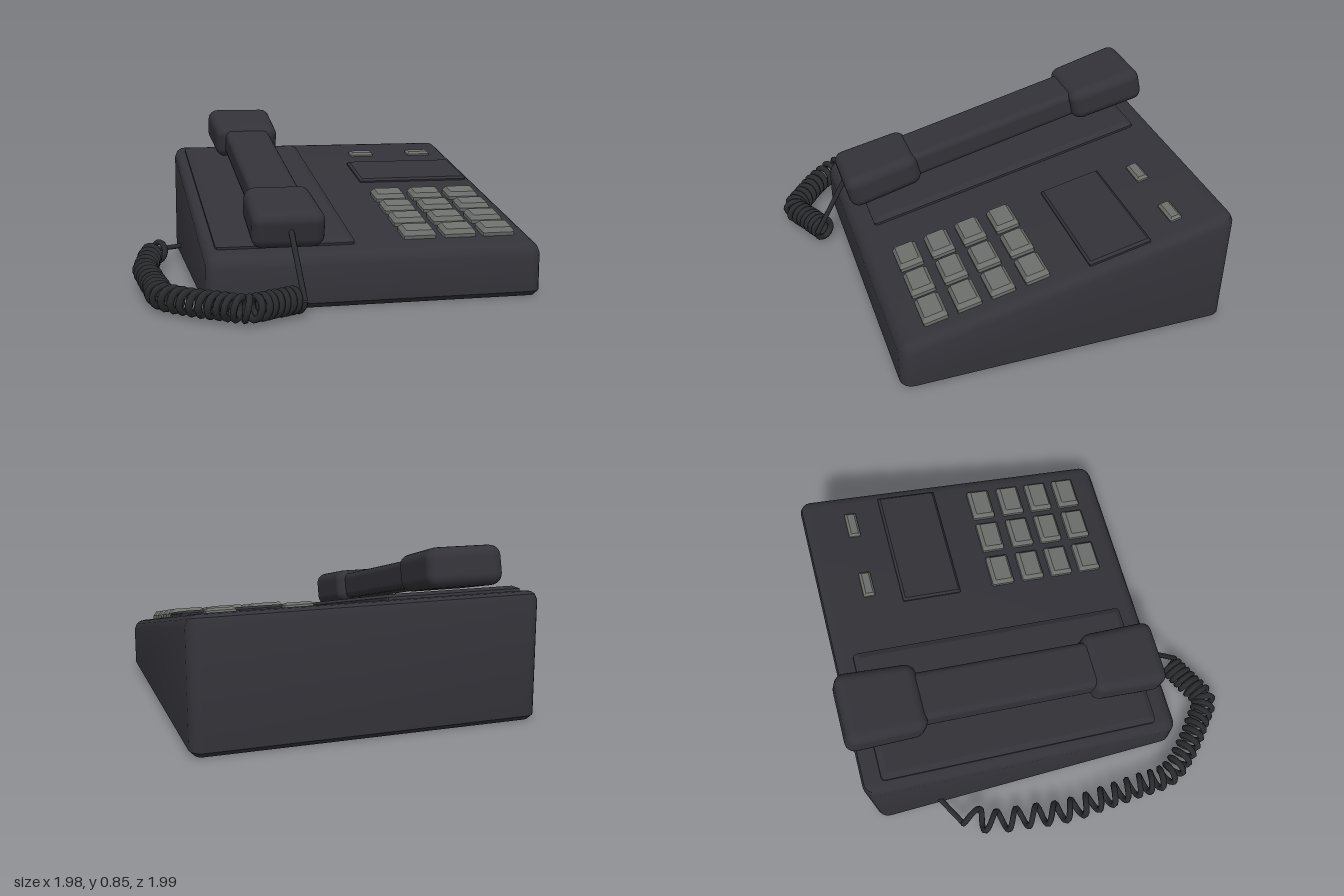
import * as THREE from 'three';
import { toCreasedNormals } from 'three/addons/utils/BufferGeometryUtils.js';
import { RoundedBoxGeometry } from 'three/addons/geometries/RoundedBoxGeometry.js';

const SLOPE = 0.23;
const TILT = Math.atan(SLOPE);
const topY = (z) => 0.27 + (0.62 - z) * SLOPE; // height of the sloping deck

// Stacks rounded rectangles [y, inset] into a closed solid
function loft(w, d, corner, rings, segs = 4) {
  const pos = [];
  const loops = rings.map(([y, inset]) => {
    const r = Math.max(corner - inset, 0.004);
    const hx = w / 2 - inset - r, hz = d / 2 - inset - r;
    const pts = [];
    for (let q = 0; q < 4; q++) {
      const sx = q === 0 || q === 3 ? 1 : -1, sz = q < 2 ? 1 : -1;
      for (let i = 0; i <= segs; i++) {
        const a = (q + i / segs) * Math.PI / 2;
        pts.push([sx * hx + r * Math.cos(a), y, sz * hz + r * Math.sin(a)]);
      }
    }
    return pts;
  });
  const n = loops[0].length;
  const last = loops.length - 1;
  for (let i = 0; i < n; i++) {
    const j = (i + 1) % n;
    for (let k = 0; k < last; k++) {
      const a = loops[k][i], b = loops[k][j], c = loops[k + 1][i], e = loops[k + 1][j];
      pos.push(...a, ...c, ...b, ...b, ...c, ...e);
    }
    pos.push(0, rings[0][0], 0, ...loops[0][i], ...loops[0][j]);
    pos.push(0, rings[last][0], 0, ...loops[last][j], ...loops[last][i]);
  }
  const g = new THREE.BufferGeometry();
  g.setAttribute('position', new THREE.Float32BufferAttribute(pos, 3));
  return g;
}

// Coil wound around a guide path, tighter towards its end
class CoilCurve extends THREE.Curve {
  constructor(path, radius) {
    super();
    this.path = path;
    this.radius = radius;
    this.arcLengthDivisions = 2000;
  }
  getPoint(t, target = new THREE.Vector3()) {
    const tan = this.path.getTangentAt(t);
    const side = new THREE.Vector3(-tan.z, 0, tan.x).normalize();
    const a = 2 * Math.PI * (16.4 * t + 14.6 * t ** 3);
    return target.copy(this.path.getPointAt(t))
      .addScaledVector(side, this.radius * Math.cos(a))
      .add(new THREE.Vector3(0, this.radius * Math.sin(a), 0));
  }
}

export function createModel() {
  const model = new THREE.Group();
  model.name = 'deskTelephone';
  const material = (name, color) => {
    const m = new THREE.MeshStandardMaterial({ color });
    m.name = name;
    return m;
  };
  const shell = material('charcoalPlastic', 0x323238);
  const grey = material('greyKeys', 0x6c6f6c);
  const cordMat = material('cordBlack', 0x292b2e);

  const add = (parent, name, geometry, mat) => {
    const mesh = new THREE.Mesh(geometry, mat);
    mesh.name = name;
    parent.add(mesh);
    return mesh;
  };

  // Wedge body: rings above 0.5 follow the sloping deck
  const bodyGeo = loft(1.67, 1.67, 0.06, [
    [0, 0.025], [0.025, 0], [0.95, 0], [0.98, 0.012], [0.995, 0.032], [1, 0.06],
  ]);
  bodyGeo.translate(0.15, 0, -0.145);
  const p = bodyGeo.attributes.position;
  for (let i = 0; i < p.count; i++) {
    if (p.getY(i) > 0.5) p.setY(i, p.getY(i) - 1 + topY(p.getZ(i)));
  }
  add(model, 'body', toCreasedNormals(bodyGeo, 0.6), shell);

  // Bevelled plate lying on the deck
  const plate = (name, x, z, w, d, h, bevel, mat) => {
    const geo = loft(w, d / Math.cos(TILT), bevel * 0.6, [[-0.02, 0], [h * 0.45, 0], [h, bevel]], 2);
    const mesh = add(model, name, toCreasedNormals(geo, 0.3), mat);
    mesh.position.set(x, topY(z), z);
    mesh.rotation.x = TILT;
  };
  plate('cradlePlate', -0.29, -0.15, 0.68, 1.46, 0.027, 0.03, shell);
  plate('labelPanel', 0.615, -0.405, 0.63, 0.31, 0.02, 0.012, shell);

  // Keypad and two line buttons
  for (const z of [-0.01, 0.16, 0.325, 0.49]) {
    for (const x of [0.39, 0.6, 0.805]) plate('key', x, z, 0.17, 0.12, 0.04, 0.016, grey);
  }
  for (const x of [0.43, 0.79]) plate('lineButton', x, -0.725, 0.14, 0.06, 0.022, 0.012, grey);

  // Handset: grip with a cup at each end, narrowing towards the grip
  const handset = new THREE.Group();
  handset.name = 'handset';
  handset.position.set(-0.29, 0.569, -0.16);
  handset.rotation.x = 0.24;
  model.add(handset);
  add(handset, 'grip', new RoundedBoxGeometry(0.255, 0.14, 1.2, 2, 0.035), shell);
  for (const [name, s, w] of [['earpiece', -1, 0.375], ['mouthpiece', 1, 0.355]]) {
    const geo = new RoundedBoxGeometry(w, 0.188, 0.41, 3, 0.055);
    const v = geo.attributes.position;
    for (let i = 0; i < v.count; i++) {
      const k = 1 - 0.06 * (0.5 - s * v.getZ(i) / 0.41);
      v.setXY(i, v.getX(i) * k, v.getY(i) * k);
    }
    add(handset, name, geo, shell).position.z = s * 0.655;
  }

  // Coiled cord resting around the left front corner
  const guide = new THREE.CatmullRomCurve3([
    [-0.8, -0.52], [-0.865, -0.42], [-0.9, -0.2], [-0.925, 0], [-0.915, 0.2], [-0.9, 0.4],
    [-0.88, 0.6], [-0.78, 0.73], [-0.65, 0.84], [-0.53, 0.92], [-0.42, 0.87], [-0.28, 0.8],
  ].map(([x, z]) => new THREE.Vector3(x, 0.077, z)));
  const coil = new CoilCurve(guide, 0.052);
  add(model, 'coiledCord', new THREE.TubeGeometry(coil, 440, 0.017, 6), cordMat);

  // Straight leads to the body and the mouthpiece
  const lead = (name, a, b) =>
    add(model, name, new THREE.TubeGeometry(new THREE.LineCurve3(a, b), 1, 0.014, 8), cordMat);
  lead('bodyLead', coil.getPoint(0), new THREE.Vector3(-0.66, 0.077, -0.65));
  lead('handsetLead', coil.getPoint(1), new THREE.Vector3(-0.285, 0.38, 0.665));

  return model;
}
